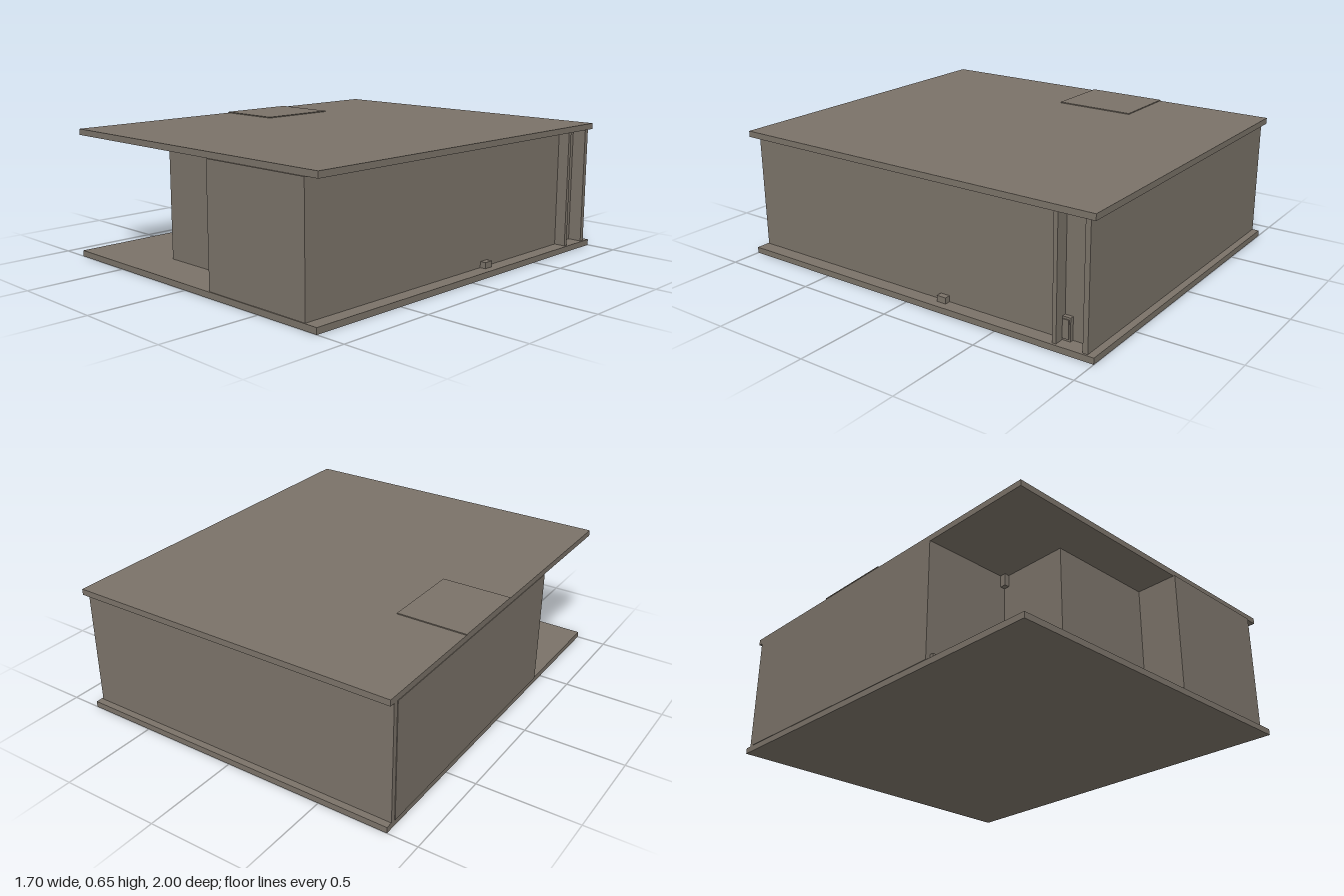
import * as THREE from 'three';

export function createModel() {
  const model = new THREE.Group();
  model.name = 'house';
  const taupe = new THREE.MeshStandardMaterial({ color: 0x7a7268 });
  taupe.name = 'taupe plaster';

  // Box given by its lower and upper bounds on each axis
  function block(name, x0, x1, y0, y1, z0, z1) {
    const mesh = new THREE.Mesh(new THREE.BoxGeometry(x1 - x0, y1 - y0, z1 - z0), taupe);
    mesh.position.set((x0 + x1) / 2, (y0 + y1) / 2, (z0 + z1) / 2);
    mesh.name = name;
    model.add(mesh);
  }
  const FLOOR = 0.03, CEILING = 0.62;
  const wall = (name, x0, x1, z0, z1) => block(name, x0, x1, FLOOR, CEILING, z0, z1);

  // Slabs
  block('floorSlab', -0.85, 0.85, 0, FLOOR, -1, 1);
  block('roofSlab', -0.85, 0.85, CEILING, 0.65, -0.992, 0.988);
  block('roofPanel', -0.852, -0.5, 0.65, 0.655, -0.38, 0.04);

  // Outer walls, stepping back around the open porch corner
  wall('backWall', -0.85, 0.84, -0.965, -0.94);
  wall('westWall', -0.853, -0.82, -0.94, 0.42);
  wall('porchBackWall', -0.82, -0.36, 0.39, 0.42);
  wall('porchSideWall', -0.39, -0.36, 0.42, 0.78);
  wall('entryWall', -0.39, 0.17, 0.75, 0.78);
  wall('frontRoomSideWall', 0.17, 0.2, 0.75, 0.995);
  wall('frontWall', 0.2, 0.78, 0.965, 0.995);
  wall('eastWall', 0.75, 0.78, -0.79, 0.965);

  // Narrow recess at the back of the east side
  wall('recessWall', 0.74, 0.77, -0.94, -0.81);
  wall('recessFin', 0.74, 0.838, -0.81, -0.79);
  block('recessBox', 0.77, 0.79, FLOOR, 0.14, -0.85, -0.81);
  block('recessBoxCover', 0.79, 0.795, 0.04, 0.13, -0.843, -0.812);

  // Small fittings
  block('eastFloorBlock', 0.78, 0.81, FLOOR, 0.06, -0.2, -0.15);
  block('porchStep', -0.83, -0.5, FLOOR, 0.06, 0.42, 0.44);
  block('porchLedge', -0.5, -0.39, 0.04, 0.06, 0.42, 0.44);
  block('porchLamp', -0.415, -0.39, 0.56, CEILING, 0.42, 0.45);

  return model;
}
